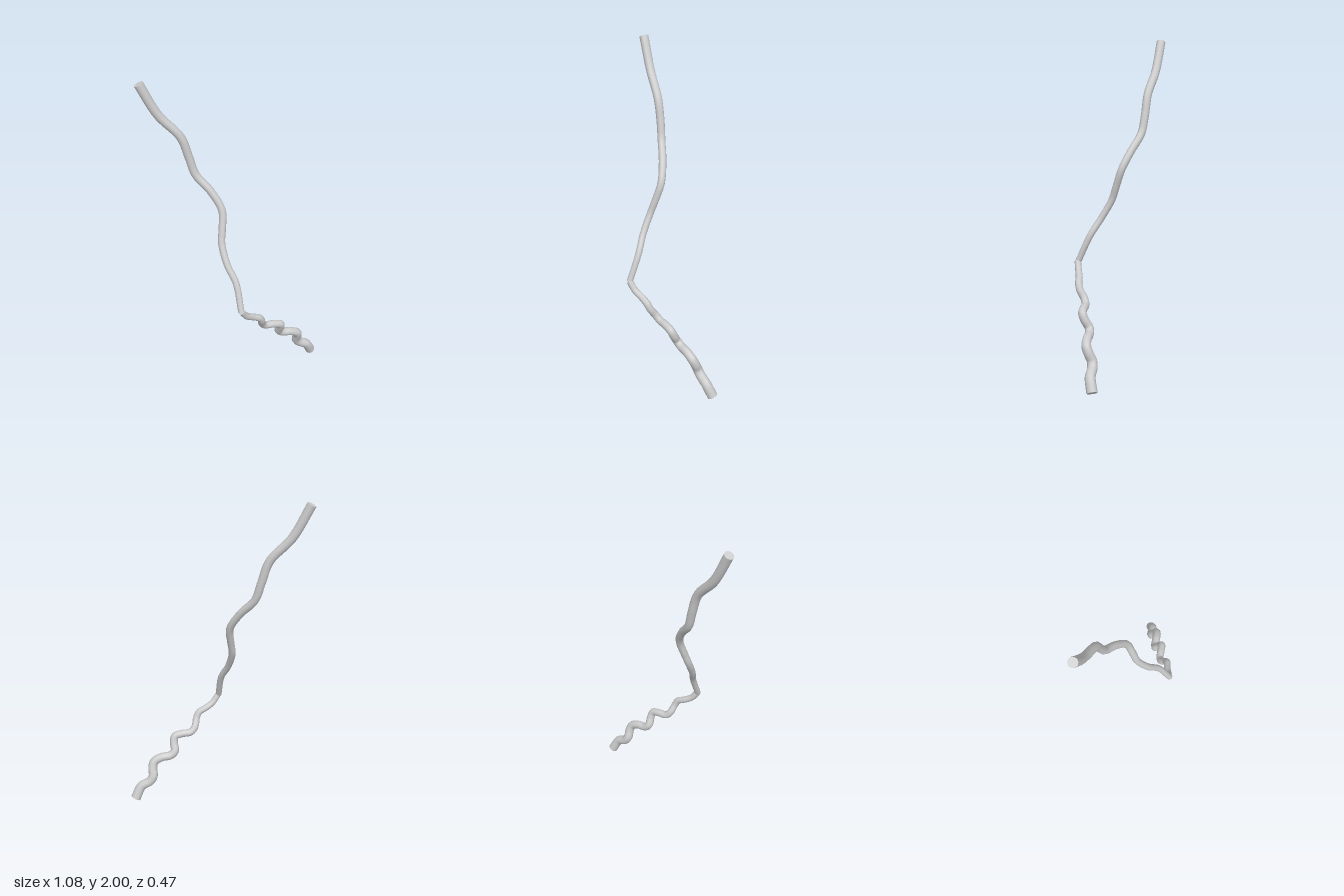
import * as THREE from 'three';

const SIDES = 10;
const material = new THREE.MeshStandardMaterial({ color: 0xcccccc, side: THREE.DoubleSide });

// Flat fan closing one end ring of a tube
function capGeometry(ring, center, flip) {
  const pts = [];
  for (let j = 0; j < SIDES; j++) {
    const a = ring[j], b = ring[j + 1];
    pts.push(center, ...(flip ? [b, a] : [a, b]));
  }
  const geo = new THREE.BufferGeometry().setFromPoints(pts);
  geo.computeVertexNormals();
  return geo;
}

// Smooth tube along a path, its radius running evenly from r0 to r1, closed at both ends
function taperedTube(name, path, r0, r1, steps) {
  const curve = new THREE.CatmullRomCurve3(path.map(p => new THREE.Vector3(...p)));
  const tube = new THREE.TubeGeometry(curve, steps, 1, SIDES, false);
  const pos = tube.attributes.position;
  const v = new THREE.Vector3();
  const ends = { 0: [], [steps]: [] };
  for (let i = 0; i <= steps; i++) {
    const center = curve.getPointAt(i / steps);
    const r = THREE.MathUtils.lerp(r0, r1, i / steps);
    for (let j = 0; j <= SIDES; j++) {
      const k = i * (SIDES + 1) + j;
      v.fromBufferAttribute(pos, k).sub(center).multiplyScalar(r).add(center);
      pos.setXYZ(k, v.x, v.y, v.z);
      if (ends[i]) ends[i].push(v.clone());
    }
  }
  const group = new THREE.Group();
  group.name = name;
  const add = (part, geo) => {
    const mesh = new THREE.Mesh(geo, material);
    mesh.name = part;
    group.add(mesh);
  };
  add(name + 'Tube', tube);
  // the ring order decides which way each cap faces
  [0, steps].forEach((i, n) => {
    const c = curve.getPointAt(i / steps), out = curve.getTangentAt(i / steps).multiplyScalar(n ? 1 : -1);
    const [a, b] = ends[i];
    const facing = a.clone().sub(c).cross(b.clone().sub(c)).dot(out);
    add(name + (n ? 'EndCap' : 'StartCap'), capGeometry(ends[i], c, facing < 0));
  });
  return group;
}

export function createModel() {
  const model = new THREE.Group();
  model.name = 'bentStem';

  // Long, gently waving upper length, from the tip down to the joint
  model.add(taperedTube('upperStem', [
    [-0.52, 1.987, 0], [-0.425, 1.80, -0.02], [-0.305, 1.66, -0.04], [-0.262, 1.53, -0.047],
    [-0.225, 1.42, -0.045], [-0.135, 1.32, -0.032], [-0.067, 1.21, -0.008], [-0.061, 1.10, 0.03],
    [-0.061, 1.02, 0.06], [-0.02, 0.90, 0.115], [0.037, 0.80, 0.155], [0.077, 0.635, 0.22],
  ], 0.028, 0.019, 80));

  // Short, tightly kinked lower length, from the joint to the foot
  model.add(taperedTube('lowerStem', [
    [0.079, 0.637, 0.221], [0.108, 0.585, 0.193], [0.145, 0.555, 0.16], [0.183, 0.53, 0.135],
    [0.195, 0.495, 0.117], [0.195, 0.448, 0.085], [0.215, 0.417, 0.06], [0.267, 0.41, 0.034],
    [0.308, 0.395, 0.013], [0.31, 0.357, -0.005], [0.297, 0.31, -0.028], [0.32, 0.283, -0.047],
    [0.373, 0.273, -0.071], [0.415, 0.246, -0.095], [0.42, 0.21, -0.113], [0.411, 0.16, -0.133],
    [0.43, 0.125, -0.148], [0.479, 0.093, -0.17], [0.509, 0.017, -0.205],
  ], 0.02, 0.032, 110));

  return model;
}
